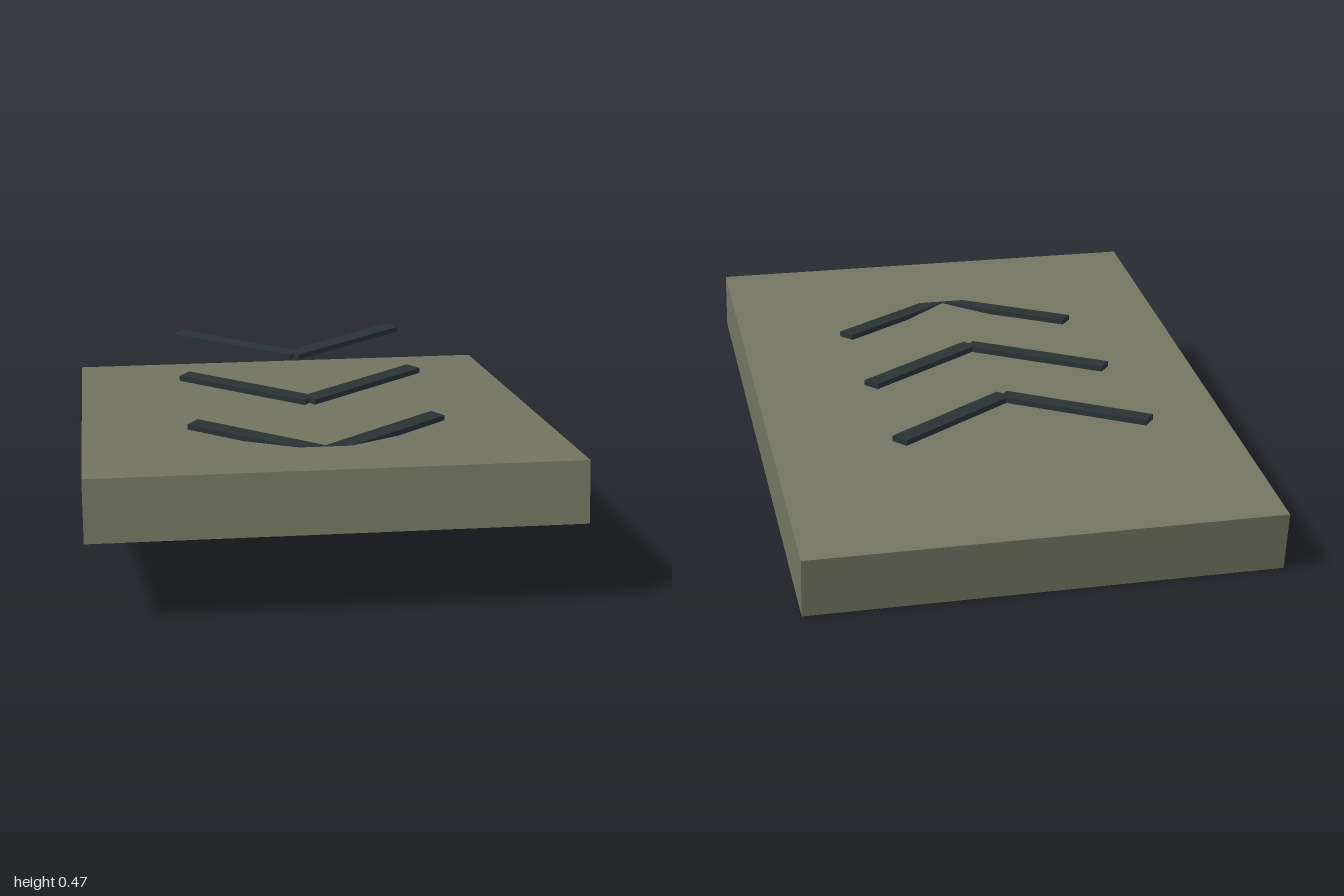
import * as THREE from 'three';

export function createModel() {
  const model = new THREE.Group();
  model.name = 'boostPad';

  const olive = new THREE.MeshStandardMaterial({ color: 0x737561 });
  olive.name = 'olive grey';
  const charcoal = new THREE.MeshStandardMaterial({ color: 0x293234 });
  charcoal.name = 'charcoal';

  // Tilted ramp slab, high at the front
  const slab = new THREE.Mesh(new THREE.BoxGeometry(1.532, 0.198, 1.992), olive);
  slab.name = 'rampSlab';
  slab.position.y = 0.237;
  slab.rotation.x = -0.14;
  model.add(slab);

  // Three level chevrons, each of two crossing bars pointing forward
  const barGeometry = new THREE.BoxGeometry(0.51, 0.018, 0.0605);
  for (let i = 0; i < 3; i++) {
    const chevron = new THREE.Group();
    chevron.name = `chevron${i + 1}`;
    chevron.position.set(0, 0.418, -0.517 + i * 0.5135);
    for (const side of [-1, 1]) {
      const bar = new THREE.Mesh(barGeometry, charcoal);
      bar.name = side > 0 ? 'leftBar' : 'rightBar';
      bar.position.x = side * 0.2015;
      bar.rotation.y = side * 0.65;
      chevron.add(bar);
    }
    model.add(chevron);
  }

  return model;
}
